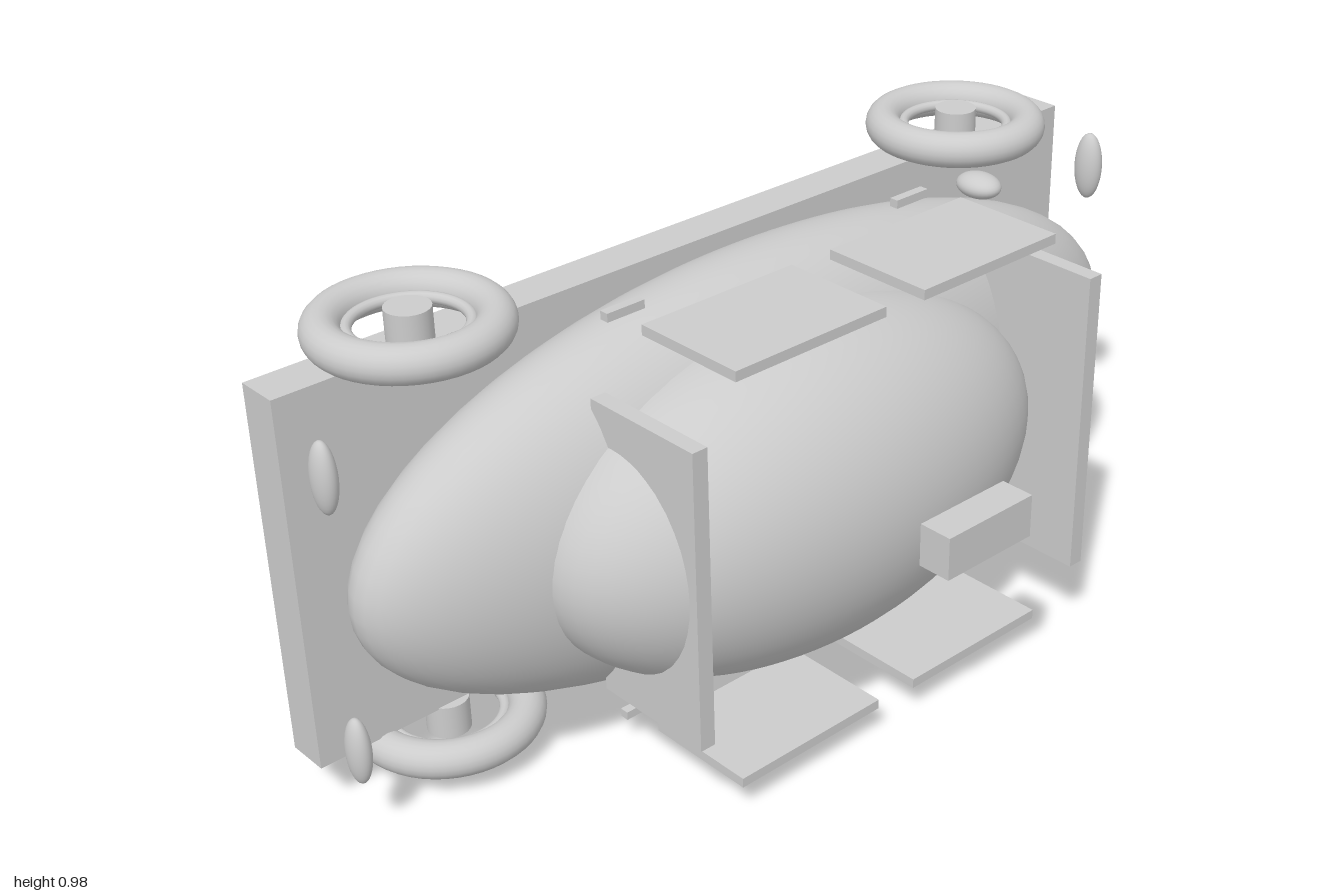
import * as THREE from 'three';

// A simple car lying on its side: length along x, roof towards +z, width along y.
const MID = 0.496; // centre line of the car's width

export function createModel() {
  const car = new THREE.Group();
  car.name = 'car';
  const material = new THREE.MeshStandardMaterial({ color: 0xcccccc });

  const add = (name, geometry, x, y, z, parent = car) => {
    const mesh = new THREE.Mesh(geometry, material);
    mesh.name = name;
    mesh.position.set(x, y, z);
    parent.add(mesh);
    return mesh;
  };
  const box = (name, w, h, d, x, y, z) => add(name, new THREE.BoxGeometry(w, h, d), x, y, z);
  const ellipsoid = (name, rx, ry, rz, x, y, z, seg = 32) =>
    add(name, new THREE.SphereGeometry(1, seg, seg / 2).scale(rx, ry, rz), x, y, z);

  // Chassis, body shell and cabin
  box('chassis', 1.975, 0.76, 0.088, -0.003, MID, -0.291);
  ellipsoid('body', 0.957, 0.4, 0.243, -0.007, MID + 0.002, -0.11, 64);
  ellipsoid('cabin', 0.585, 0.335, 0.288, -0.09, MID, 0.054, 64);

  // Windscreens and roof box
  box('windscreen', 0.033, 0.647, 0.321, 0.462, MID, 0.147);
  box('rearWindow', 0.033, 0.612, 0.267, -0.504, MID, 0.134);
  box('roofBox', 0.22, 0.088, 0.071, 0.016, MID, 0.424);

  for (const side of [-1, 1]) {
    const label = side > 0 ? 'upper' : 'lower';

    // Wheels: tyre, rim and hub, with the axle along y
    for (const [end, x] of [['Front', 0.687], ['Rear', -0.696]]) {
      const wheel = new THREE.Group();
      wheel.name = `${label}${end}Wheel`;
      wheel.position.set(x, MID + side * 0.412, -0.271);
      add('tyre', new THREE.TorusGeometry(0.152, 0.037, 20, 48).rotateX(Math.PI / 2), 0, 0, 0, wheel);
      add('rim', new THREE.TorusGeometry(0.109, 0.011, 12, 48).rotateX(Math.PI / 2), 0, 0, 0, wheel);
      add('hub', new THREE.CylinderGeometry(0.043, 0.043, 0.07, 24), 0, 0, 0, wheel);
      car.add(wheel);
    }

    // Side windows and door handles
    for (const [end, windowX, handleX] of [['Front', 0.195, 0.308], ['Rear', -0.254, -0.408]]) {
      box(`${label}${end}Window`, 0.353, 0.02, 0.24, windowX, MID + side * 0.42, 0.157);
      box(`${label}${end}Handle`, 0.084, 0.017, 0.019, handleX, MID + side * 0.424, -0.041);
    }

    // Mirrors and lamps
    ellipsoid(`${label}Mirror`, 0.037, 0.024, 0.048, 0.373, MID + side * 0.468, 0.08);
    ellipsoid(`${label}Headlamp`, 0.026, 0.0745, 0.032, 0.967, MID + side * 0.279, -0.13);
    ellipsoid(`${label}TailLamp`, 0.022, 0.07, 0.029, -0.978, MID + side * 0.279, -0.126);
  }
  return car;
}
